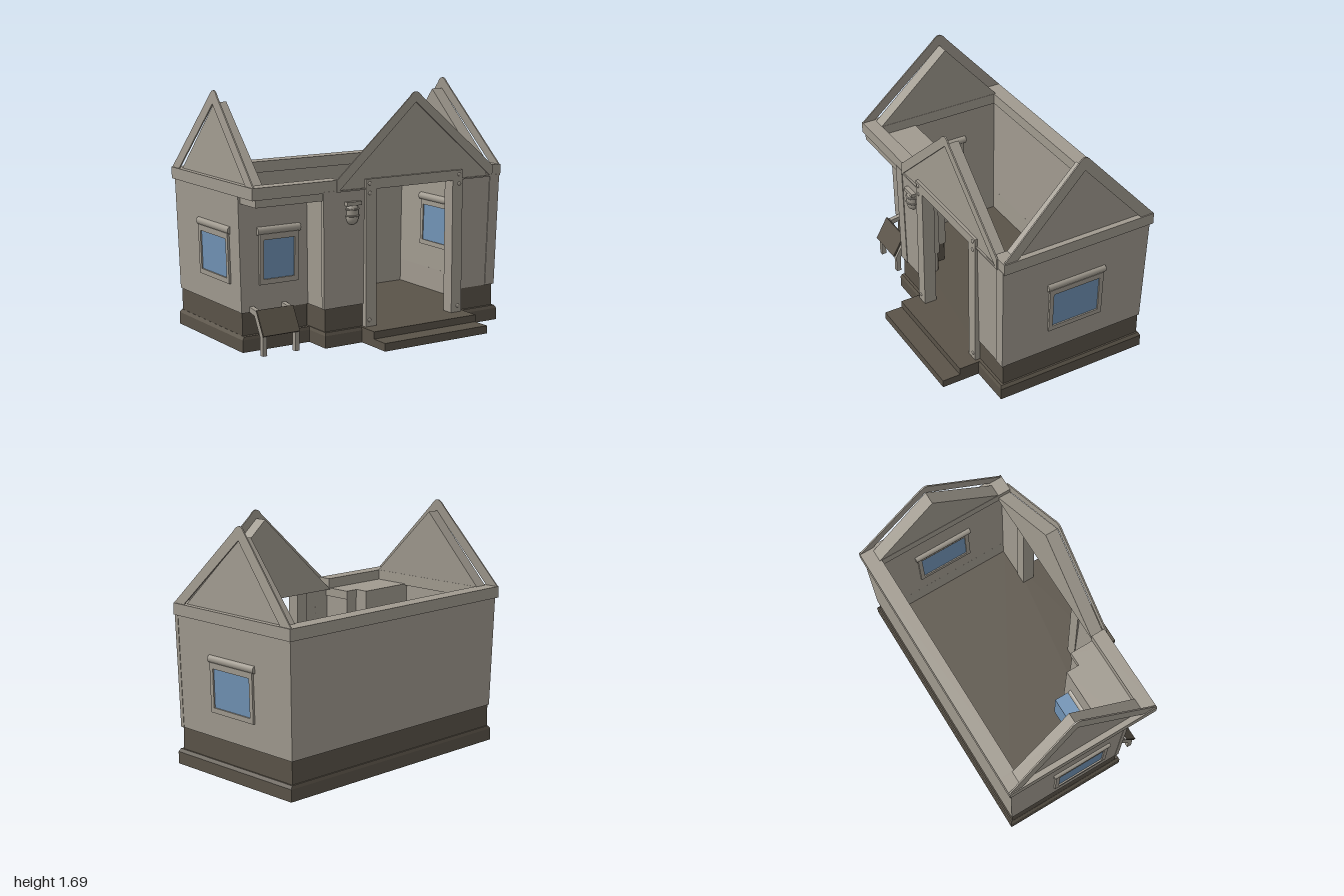
import * as THREE from 'three';

const MID_Z = -0.13;

export function createModel() {
  const root = new THREE.Group();
  root.name = 'rooflessCabin';
  const mat = (name, color) => {
    const m = new THREE.MeshStandardMaterial({ color });
    m.name = name;
    return m;
  };
  const wood = mat('paleWood', 0xa09a8f);
  const dark = mat('darkStone', 0x5a5348);
  const glass = mat('blueGlass', 0x7092b4);

  const add = (name, geo, material, parent = root) => {
    const m = new THREE.Mesh(geo, material);
    m.name = name;
    parent.add(m);
    return m;
  };
  // Move every vertex by a rule, then refresh the normals
  const warp = (geo, rule) => {
    const p = geo.attributes.position;
    const v = new THREE.Vector3();
    for (let i = 0; i < p.count; i++) {
      rule(v.fromBufferAttribute(p, i));
      p.setXYZ(i, v.x, v.y, v.z);
    }
    geo.computeVertexNormals();
    return geo;
  };
  const boxGeo = (x0, x1, y0, y1, z0, z1) =>
    new THREE.BoxGeometry(x1 - x0, y1 - y0, z1 - z0)
      .translate((x0 + x1) / 2, (y0 + y1) / 2, (z0 + z1) / 2);
  const box = (name, m, b, parent) => add(name, boxGeo(...b), m, parent);
  // Walls flare outward a little towards the top
  const flare = (v) => {
    const s = 1 + 0.03 * Math.max(0, v.y - 0.26);
    v.x *= s;
    v.z = (v.z - MID_Z) * s + MID_Z;
  };
  const leanBox = (name, m, b) => add(name, warp(boxGeo(...b), flare), m);
  const poly = (pts, C = THREE.Shape) => new C(pts.map(([x, y]) => new THREE.Vector2(x, y)));
  const extrude = (shape, depth, steps = 1) =>
    new THREE.ExtrudeGeometry(shape, { depth, steps, bevelEnabled: false, curveSegments: 8 });

  // Foundation with a notch for the recessed corner and a chamfered top, and the front steps
  const foot = poly([[-0.97, 0.69], [-0.97, -0.23], [-0.46, -0.23], [-0.46, -0.435],
    [0.98, -0.435], [0.98, 0.69]]);
  add('foundation', warp(extrude(foot, 0.105, 5).rotateX(-Math.PI / 2), (v) => {
    if (v.y < 0.1) return;
    v.x *= 0.985;
    v.z = (v.z - MID_Z) * 0.985 + MID_Z;
  }), dark);
  box('upperStep', dark, [-0.17, 0.68, 0, 0.105, 0.4, 0.58]);
  box('lowerStep', dark, [-0.17, 0.68, 0, 0.055, 0.5, 0.71]);

  // Wall runs: [x0, x1, z0, z1, outward x, outward z]
  const runs = [
    ['rightWall', 0.87, 0.962, -0.68, 0.415, 1, 0],
    ['leftWall', -0.962, -0.87, -0.68, 0.205, -1, 0],
    ['backWall', -0.962, 0.962, -0.68, -0.6, 0, -1],
    ['recessedWall', -0.962, -0.45, 0.06, 0.205, 0, 1],
    ['recessSideWall', -0.455, -0.36, 0.16, 0.415, -1, 0],
    ['frontLeftWall', -0.455, -0.06, 0.36, 0.415, 0, 1],
    ['frontRightWall', 0.57, 0.962, 0.36, 0.415, 0, 1],
  ];
  for (const [name, x0, x1, z0, z1, nx, nz] of runs) {
    const i = 0.008;
    leanBox(name, wood, [x0, x1, 0.26, 1.05, z0, z1]);
    box(name + 'Plinth', dark, [x0 + i, x1 - i, 0.09, 0.27, z0 + i, z1 - i]);
    // pale lining on the room side
    box(name + 'Lining', wood, nx
      ? [nx > 0 ? x0 : x1 - 0.02, nx > 0 ? x0 + 0.02 : x1, 0.1, 0.27, z0 + 0.02, z1 - 0.02]
      : [x0 + 0.02, x1 - 0.02, 0.1, 0.27, nz > 0 ? z0 : z1 - 0.02, nz > 0 ? z0 + 0.02 : z1]);
  }

  // Corner boards
  for (const [x0, x1, z] of [[-0.46, -0.375, 0.42], [0.885, 0.965, 0.42], [-0.965, -0.9, 0.21]])
    leanBox('cornerBoard', wood, [x0, x1, 0.26, 1.05, z - 0.03, z]);

  // Top beams and the porch ceiling
  box('backBeam', wood, [-1, 1, 1.04, 1.12, -0.71, -0.6]);
  box('frontBeamLeft', wood, [-1, -0.35, 1.04, 1.12, 0.33, 0.43]);
  box('frontBeamRight', wood, [0.87, 1, 1.04, 1.12, 0.33, 0.43]);
  for (const s of [-1, 1])
    box('sideBeam', wood, [Math.min(s, s * 0.87), Math.max(s, s * 0.87), 1.04, 1.12, -0.71, 0.43]);
  box('porchCeiling', wood, [-0.97, -0.36, 0.99, 1.05, 0.16, 0.42]);

  // Gable: a thin raised rim in front of a thick triangular panel
  const gable = (name, { a, b, p, top, out, holeY, inset, ry, lean, gap }) => {
    const g = new THREE.Group();
    g.name = name;
    g.rotation.y = ry;
    root.add(g);
    const s = new THREE.Shape();
    s.moveTo(a, 1.04).lineTo(b, 1.04).lineTo(b, 1.12).lineTo(p + 0.05, top - 0.035);
    s.quadraticCurveTo(p, top + 0.035, p - 0.05, top - 0.035);
    s.lineTo(a, 1.12).lineTo(a, 1.04);
    s.holes.push(poly([[a + inset, holeY], [p, 1.6], [b - inset, holeY]], THREE.Path));
    add('gableRim', warp(extrude(s, 0.01), (v) => {
      v.z += out - 0.01 - lean * (v.y - 1.04);
    }), wood, g);
    const k = inset - 0.015;
    const tri = poly([[a + k, holeY - 0.01], [b - k, holeY - 0.01], [p, 1.61]]);
    add('gablePanel', warp(extrude(tri, 0.09), (v) => {
      v.z += out - 0.09 - gap - lean * 0.6 * (v.y - 1.04);
    }), wood, g);
  };
  const sideGable = { top: 1.69, out: 1, holeY: 1.12, inset: 0.1, lean: 0.085, gap: 0.034 };
  gable('rightGable', { ...sideGable, a: -0.43, b: 0.71, p: 0.18, ry: Math.PI / 2 });
  gable('leftGable', { ...sideGable, a: -0.71, b: 0.43, p: -0.18, ry: -Math.PI / 2 });
  gable('frontGable', { a: -0.37, b: 0.92, p: 0.26, top: 1.67, out: 0.44, holeY: 1.05,
    inset: 0.02, ry: 0, lean: 0, gap: 0.014 });

  // Doorway frame with bolts
  const bolt = new THREE.SphereGeometry(0.014, 12, 6, 0, Math.PI * 2, 0, Math.PI / 2)
    .rotateX(Math.PI / 2).scale(1, 1, 0.6);
  for (const [x0, x1, bx] of [[-0.147, -0.06, -0.117], [0.57, 0.655, 0.625]]) {
    box('doorPost', wood, [x0, x1, 0.1, 1.045, 0.355, 0.446]);
    for (const y of [0.15, 1.015, 1.08]) add('bolt', bolt, wood).position.set(bx, y, 0.445);
  }
  box('doorLintel', wood, [-0.147, 0.655, 1.04, 1.11, 0.336, 0.446]);

  // Windows: frame inside and out, pane and a rolled shade
  const windowUnit = (name, w, x, z, ry, depth) => {
    const g = new THREE.Group();
    g.name = name;
    g.position.set(x, 0.6, z);
    g.rotation.set(0.029, ry, 0, 'YXZ');
    root.add(g);
    const rect = (hw, y0, y1) => [[-hw, y0], [hw, y0], [hw, y1], [-hw, y1]];
    const f = poly(rect(w / 2 + 0.03, -0.165, 0.175));
    f.holes.push(poly(rect(w / 2, -0.13, 0.135), THREE.Path));
    for (const d of [-0.005, -depth - 0.012])
      add('windowFrame', extrude(f, 0.02), wood, g).position.z = d;
    box('windowPane', glass, [-w / 2 - 0.01, w / 2 + 0.01, -0.14, 0.145, -depth - 0.004, 0.005], g);
    for (const d of [-0.006, -depth]) {
      const roll = new THREE.CylinderGeometry(0.027, 0.027, w + 0.09, 16).rotateZ(Math.PI / 2);
      add('shadeRoll', roll, wood, g).position.set(0, 0.195, d);
    }
  };
  windowUnit('rightWindow', 0.355, 0.972, -0.132, Math.PI / 2, 0.093);
  windowUnit('leftWindow', 0.355, -0.972, -0.132, -Math.PI / 2, 0.093);
  windowUnit('frontWindow', 0.235, -0.685, 0.21, 0, 0.147);
  box('innerGlassBlock', glass, [-0.86, -0.51, 0.47, 0.75, -0.05, 0.055]);

  // Wall lamp beside the door
  const lamp = new THREE.Group();
  lamp.name = 'wallLamp';
  lamp.position.set(-0.245, 0, 0.42);
  root.add(lamp);
  box('lampCap', wood, [-0.058, 0.058, 0.945, 0.97, -0.02, 0.04], lamp);
  add('lampBody', new THREE.CapsuleGeometry(0.046, 0.06, 6, 16), wood, lamp).position.y = 0.888;
  for (const y of [0.875, 0.92])
    add('lampRing', new THREE.TorusGeometry(0.047, 0.006, 6, 20).rotateX(Math.PI / 2), wood, lamp)
      .position.y = y;

  // Small sloped bench on bent legs by the recessed wall
  const bench = new THREE.Group();
  bench.name = 'bench';
  root.add(bench);
  const board = add('benchBoard', new THREE.BoxGeometry(0.275, 0.18, 0.014), dark, bench);
  board.position.set(-0.773, 0.215, 0.352);
  board.rotation.x = -0.51;
  const leg = poly([[0.36, 0], [0.395, 0], [0.395, 0.13], [0.31, 0.285], [0.2, 0.3],
    [0.2, 0.265], [0.285, 0.25], [0.36, 0.12]]);
  for (const x of [-0.905, -0.66])
    add('benchLeg', extrude(leg, 0.032).rotateY(-Math.PI / 2), wood, bench)
      .position.set(x + 0.032, 0, -0.015);

  return root;
}
